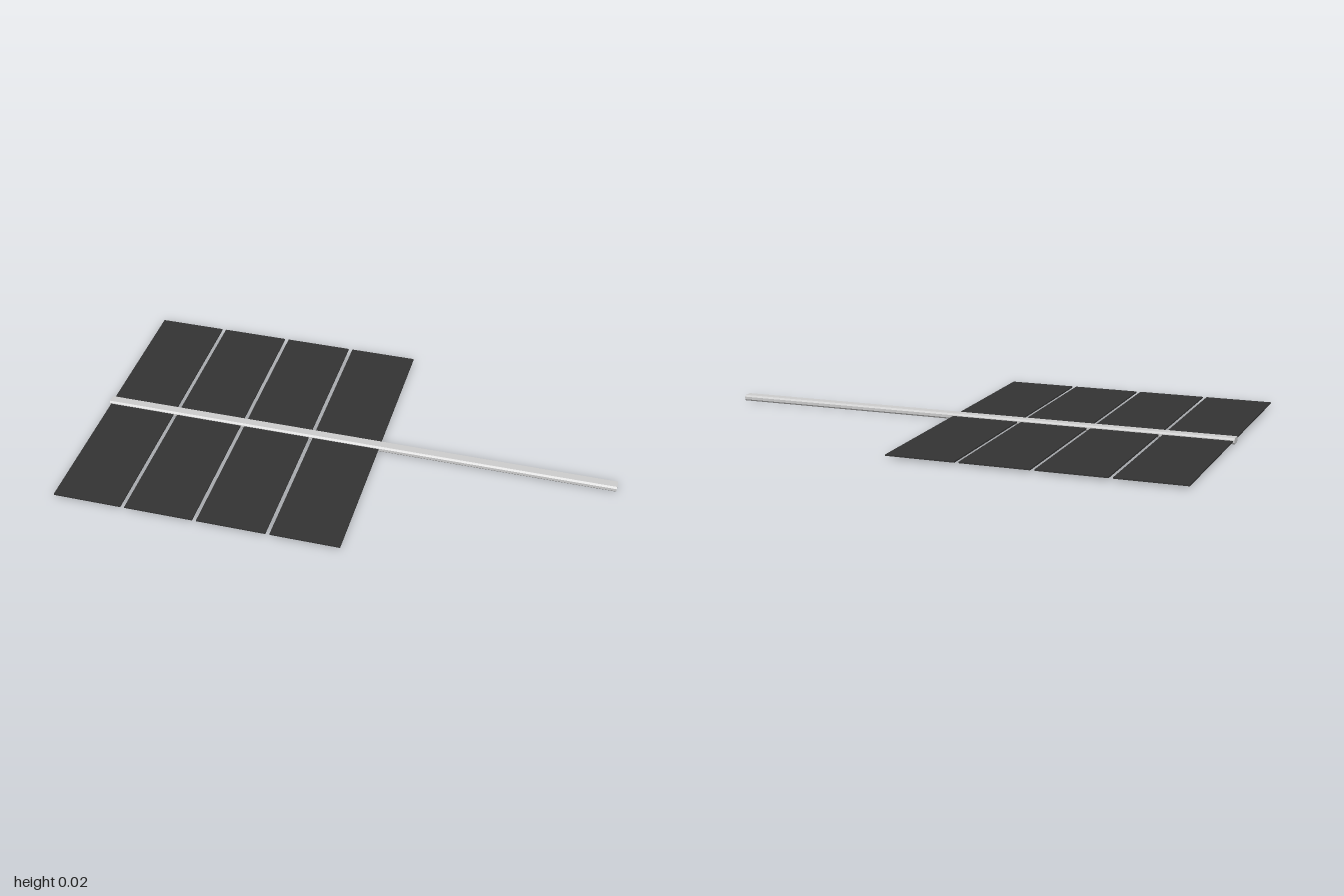
import * as THREE from 'three';

export function createModel() {
  const model = new THREE.Group();
  model.name = 'solarArray';
  const grey = new THREE.MeshStandardMaterial({ color: 0xcccccc, flatShading: true });
  const dark = new THREE.MeshStandardMaterial({ color: 0x333333, flatShading: true });

  // Everything is laid out along one axis, then turned 30 degrees
  const array = new THREE.Group();
  array.name = 'turnedArray';
  array.rotation.y = Math.PI / 6;
  model.add(array);

  const axisZ = -0.12;
  const midY = 0.011;

  // Flat boom with bevelled long edges
  const w = 0.022, h = 0.011, c = 0.006;
  const section = new THREE.Shape([
    [-w, -h + c], [-w + c, -h], [w - c, -h], [w, -h + c],
    [w, h - c], [w - c, h], [-w + c, h], [-w, h - c],
  ].map(([x, y]) => new THREE.Vector2(x, y)));
  const boomStart = -0.744, boomLength = 1.95;
  const boomGeometry = new THREE.ExtrudeGeometry(section, { depth: boomLength, bevelEnabled: false });
  boomGeometry.rotateY(Math.PI / 2);
  const boom = new THREE.Mesh(boomGeometry, grey);
  boom.name = 'boom';
  boom.position.set(boomStart, midY, axisZ);
  array.add(boom);

  // Row of four thin panels with narrow gaps
  const panelWidth = 0.254, gap = 0.0153, panelStart = -0.738;
  const panelGeometry = new THREE.BoxGeometry(panelWidth, 0.005, 1.196);
  for (let i = 0; i < 4; i++) {
    const panel = new THREE.Mesh(panelGeometry, dark);
    panel.name = `panel${i + 1}`;
    panel.position.set(panelStart + panelWidth / 2 + i * (panelWidth + gap), midY, axisZ);
    array.add(panel);
  }
  return model;
}
